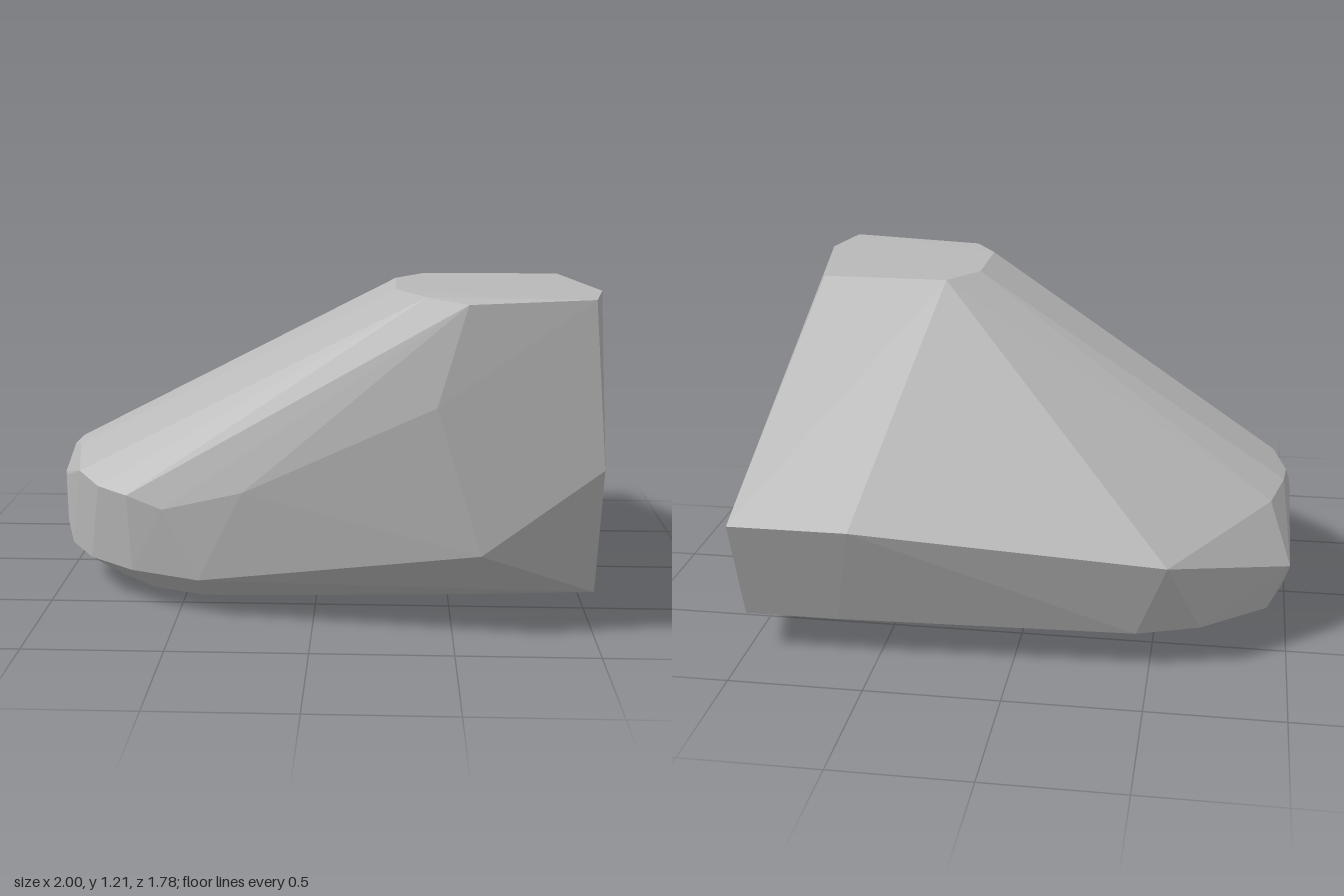
import * as THREE from 'three';
import { ConvexGeometry } from 'three/addons/geometries/ConvexGeometry.js';

export function createModel() {
  const group = new THREE.Group();
  group.name = 'boulder';
  const stone = new THREE.MeshStandardMaterial({ color: 0xb8b8b8, flatShading: true });
  stone.name = 'stone grey';

  // corners of the level top
  const top = [
    [0.29, 1.21, 0.31], [0.4, 1.21, 0.15], [0.9, 1.21, 0.15], [1, 1.21, 0.65],
    [0.95, 1.21, 0.89], [0.53, 1.19, 0.885], [0.39, 1.205, 0.81], [0.29, 1.21, 0.64],
  ];
  // corners of the steep front and the flat cut side
  const front = [[0.43, 0.84, 0.89], [0.59, 0.32, 0.89], [1, 0.63, 0.89]];
  // lower edge of the sloping back
  const back = [[1, 0.56, -0.89], [0.56, 0.56, -0.89], [-0.56, 0.44, -0.77], [-1, 0.31, -0.41]];
  // worn ridge around the rounded nose
  const nose = [
    [-0.25, 0.495, 0.74], [-0.55, 0.405, 0.65], [-0.69, 0.44, 0.59], [-0.81, 0.45, 0.5],
    [-0.9, 0.48, 0.39], [-0.98, 0.42, 0.22], [-1, 0.42, 0.17], [-1, 0.22, 0.16],
    [-0.93, 0.54, 0.2], [-0.98, 0.51, 0.06], [-0.97, 0.515, -0.06], [-0.92, 0.5, -0.25],
  ];
  // chamfer ring above the base
  const ring = [
    [1, 0.15, 0.75], [-0.42, 0.145, 0.67], [-0.68, 0.145, 0.56], [-0.86, 0.145, 0.41],
    [-0.97, 0.145, 0.22], [-0.985, 0.145, 0], [-0.98, 0.145, -0.24], [-0.92, 0.145, -0.44],
    [-0.68, 0.145, -0.63], [-0.45, 0.145, -0.71], [0.65, 0.15, -0.76], [1, 0.15, -0.76],
  ];
  // base outline, mirrored front to back
  const base = [];
  for (const [x, y, z] of [
    [1, 0, 0.305], [0.35, 0.005, 0.4], [-0.42, 0.027, 0.49],
    [-0.62, 0.031, 0.42], [-0.76, 0.034, 0.28], [-0.81, 0.035, 0.1],
  ]) base.push([x, y, z], [x, y, -z]);

  const corners = [...top, ...front, ...back, ...nose, ...ring, ...base]
    .map((p) => new THREE.Vector3(...p));
  const rock = new THREE.Mesh(new ConvexGeometry(corners), stone);
  rock.name = 'rock';
  group.add(rock);
  return group;
}
